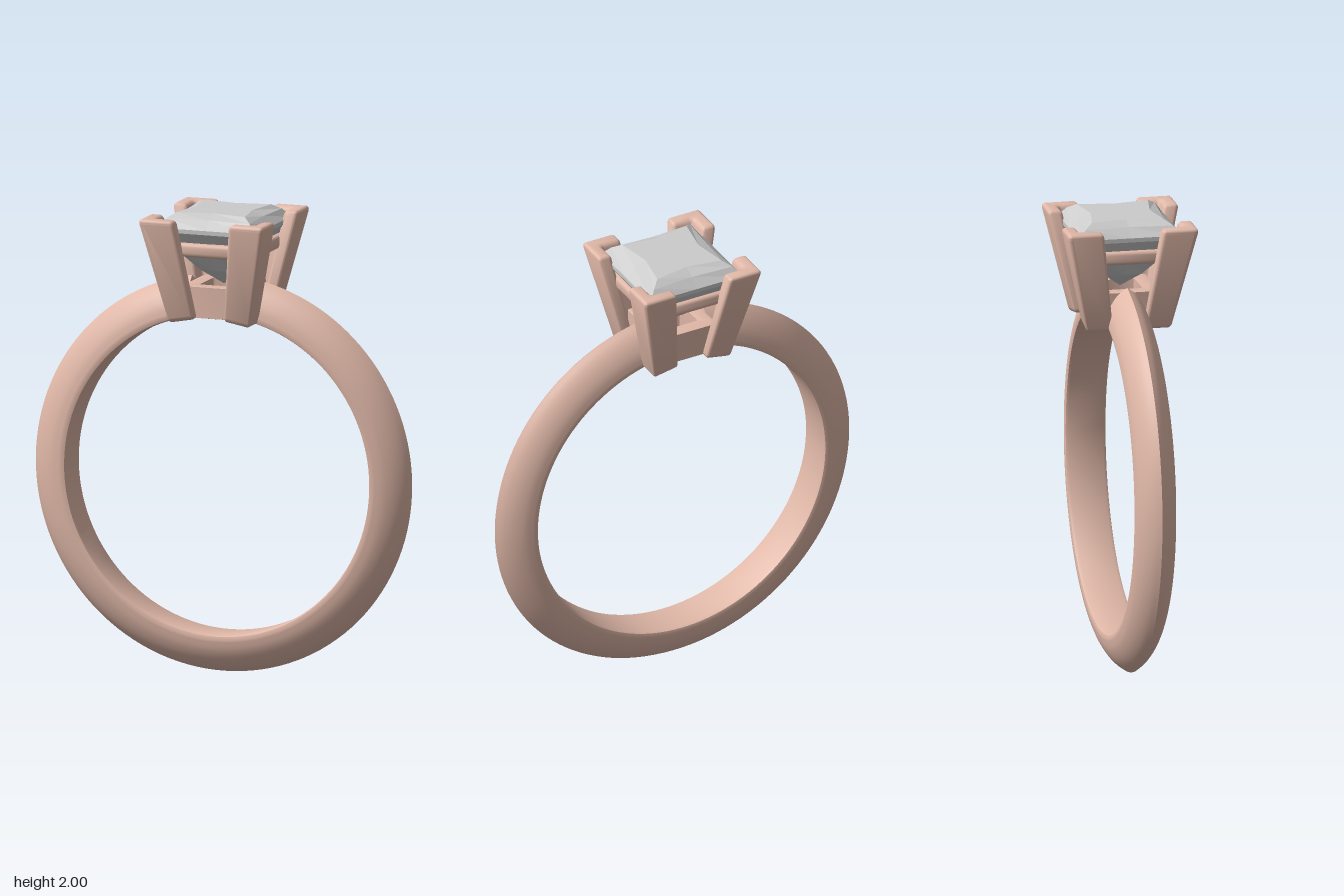
import * as THREE from 'three';
import { toCreasedNormals } from 'three/addons/utils/BufferGeometryUtils.js';

const CENTER_Y = 0.857, INNER_R = 0.69;
const gold = new THREE.MeshStandardMaterial({ color: 0xe0b8a8 });
const goldThin = new THREE.MeshStandardMaterial({ color: 0xe0b8a8, side: THREE.DoubleSide });
const stone = new THREE.MeshStandardMaterial({ color: 0xcccccc, flatShading: true });

// height of the finger hole's top above a given x
const holeY = (x) => CENTER_Y + Math.sqrt(INNER_R * INNER_R - x * x);

function moveVertices(geo, rule) {
  const p = geo.attributes.position;
  const v = new THREE.Vector3();
  for (let i = 0; i < p.count; i++) {
    rule(v.fromBufferAttribute(p, i));
    p.setXYZ(i, v.x, v.y, v.z);
  }
  return geo;
}

function addMesh(parent, name, geo, mat) {
  const mesh = new THREE.Mesh(geo, mat);
  mesh.name = name;
  parent.add(mesh);
  return mesh;
}

// polygon with rounded corners
function roundedShape(pts, r) {
  const P = pts.map(([x, y]) => new THREE.Vector2(x, y));
  const s = new THREE.Shape();
  P.forEach((c, i) => {
    const toward = (q) => c.clone().add(q.clone().sub(c).setLength(r));
    const a = toward(P[(i + P.length - 1) % P.length]);
    const b = toward(P[(i + 1) % P.length]);
    if (i === 0) s.moveTo(a.x, a.y); else s.lineTo(a.x, a.y);
    s.quadraticCurveTo(c.x, c.y, b.x, b.y);
  });
  s.closePath();
  return s;
}

const square = (h, r) => roundedShape([[-h, -h], [h, -h], [h, h], [-h, h]], r);

// square frame standing from y = 0 to y = height
function frameGeometry(outer, inner, height, bevel) {
  const shape = square(outer, 0.01);
  shape.holes.push(square(inner, 0.01));
  const geo = new THREE.ExtrudeGeometry(shape, {
    depth: height - 2 * bevel, bevelThickness: bevel, bevelSize: bevel,
    bevelOffset: -bevel, bevelSegments: 4, curveSegments: 4,
  });
  return geo.translate(0, 0, bevel).rotateX(-Math.PI / 2);
}

// knife-edged band, open at the top where the setting sits
function buildBand() {
  const group = new THREE.Group();
  group.name = 'band';
  const half = new THREE.SplineCurve([
    [0.71, 0.09], [0.755, 0.081], [0.80, 0.059], [0.835, 0.03], [0.857, 0],
  ].map(([r, z]) => new THREE.Vector2(r, z))).getPoints(14);
  const flip = (p) => new THREE.Vector2(p.x, -p.y);
  const profile = [
    ...half.map(flip),
    ...half.slice(0, -1).reverse(),
    new THREE.Vector2(0.695, 0.086), new THREE.Vector2(INNER_R, 0.074),
    new THREE.Vector2(INNER_R, -0.074), new THREE.Vector2(0.695, -0.086),
    flip(half[0]),
  ];
  const gap = 0.17;
  const ring = new THREE.LatheGeometry(profile, 120, Math.PI + gap, 2 * (Math.PI - gap));
  ring.rotateX(Math.PI / 2);
  addMesh(group, 'bandRing', toCreasedNormals(ring, 0.6), gold);
  for (const side of [-1, 1]) {
    const cap = new THREE.ShapeGeometry(new THREE.Shape(profile.slice(0, -1)));
    cap.rotateX(Math.PI / 2).rotateZ(Math.PI / 2 + side * gap);
    addMesh(group, 'bandEnd', cap, goldThin);
  }
  group.position.y = CENTER_Y;
  return group;
}

// L-section prong, flaring upward, its foot trimmed to the finger hole
function prongGeometry(turn) {
  const L = 0.158, T = 0.064, b = 0.02;
  const shape = roundedShape([[-L, 0], [0, 0], [0, L], [-T, L], [-T, T], [-L, T]], 0.018);
  const depth = 0.41;
  const geo = new THREE.ExtrudeGeometry(shape, {
    depth, bevelThickness: b, bevelSize: b, bevelOffset: -b, bevelSegments: 4, curveSegments: 5,
  });
  geo.translate(0, 0, b).rotateX(-Math.PI / 2);
  moveVertices(geo, (v) => {
    const t = v.y / (depth + 2 * b);
    const outer = THREE.MathUtils.lerp(0.183, 0.286, t);
    const scale = THREE.MathUtils.lerp(0.73, 1, t);
    v.set(outer + v.x * scale, t, outer + v.z * scale);
  });
  geo.rotateY(turn * Math.PI / 2);
  moveVertices(geo, (v) => { v.y = THREE.MathUtils.lerp(holeY(v.x), 1.982, v.y); });
  return toCreasedNormals(geo, 0.6);
}

// princess-cut stone from square rings: [corner, edge middle, height]
function gemGeometry() {
  const rings = [
    [0, 0, 2.0], [0.155, 0.128, 2.0], [0.19, 0.18, 1.978], [0.222, 0.222, 1.94],
    [0.222, 0.222, 1.922], [0.15, 0.16, 1.83], [0.08, 0.1, 1.745], [0, 0, 1.675],
  ];
  const dirs = [[1, 0], [1, 1], [0, 1], [-1, 1], [-1, 0], [-1, -1], [0, -1], [1, -1]];
  const pos = [];
  const index = [];
  rings.forEach(([corner, mid, y], j) => {
    dirs.forEach(([x, z], k) => {
      const h = k % 2 ? corner : mid;
      pos.push(x * h, y, z * h);
      if (j === rings.length - 1) return;
      const a = j * 8 + k, b = j * 8 + (k + 1) % 8, c = a + 8, d = b + 8;
      if (j > 0) index.push(a, b, c);
      if (j < rings.length - 2) index.push(b, d, c);
    });
  });
  const geo = new THREE.BufferGeometry();
  geo.setAttribute('position', new THREE.Float32BufferAttribute(pos, 3));
  geo.setIndex(index);
  const flat = geo.toNonIndexed();
  flat.computeVertexNormals();
  return flat;
}

export function createModel() {
  const model = new THREE.Group();
  model.name = 'ring';
  model.add(buildBand());

  // setting: four prongs joined by two square rails
  const setting = new THREE.Group();
  setting.name = 'setting';
  model.add(setting);
  for (let i = 0; i < 4; i++) addMesh(setting, 'prong', prongGeometry(i), gold);

  const lower = moveVertices(frameGeometry(0.14, 0.08, 1, 0.008), (v) => {
    v.y = THREE.MathUtils.lerp(holeY(v.x) + 0.01, 1.68, v.y);
  });
  addMesh(setting, 'lowerRail', toCreasedNormals(lower, 0.6), gold);

  const upper = frameGeometry(0.21, 0.15, 0.06, 0.018);
  addMesh(setting, 'upperRail', toCreasedNormals(upper, 0.6), gold).position.y = 1.818;

  addMesh(model, 'gemstone', gemGeometry(), stone);
  return model;
}
